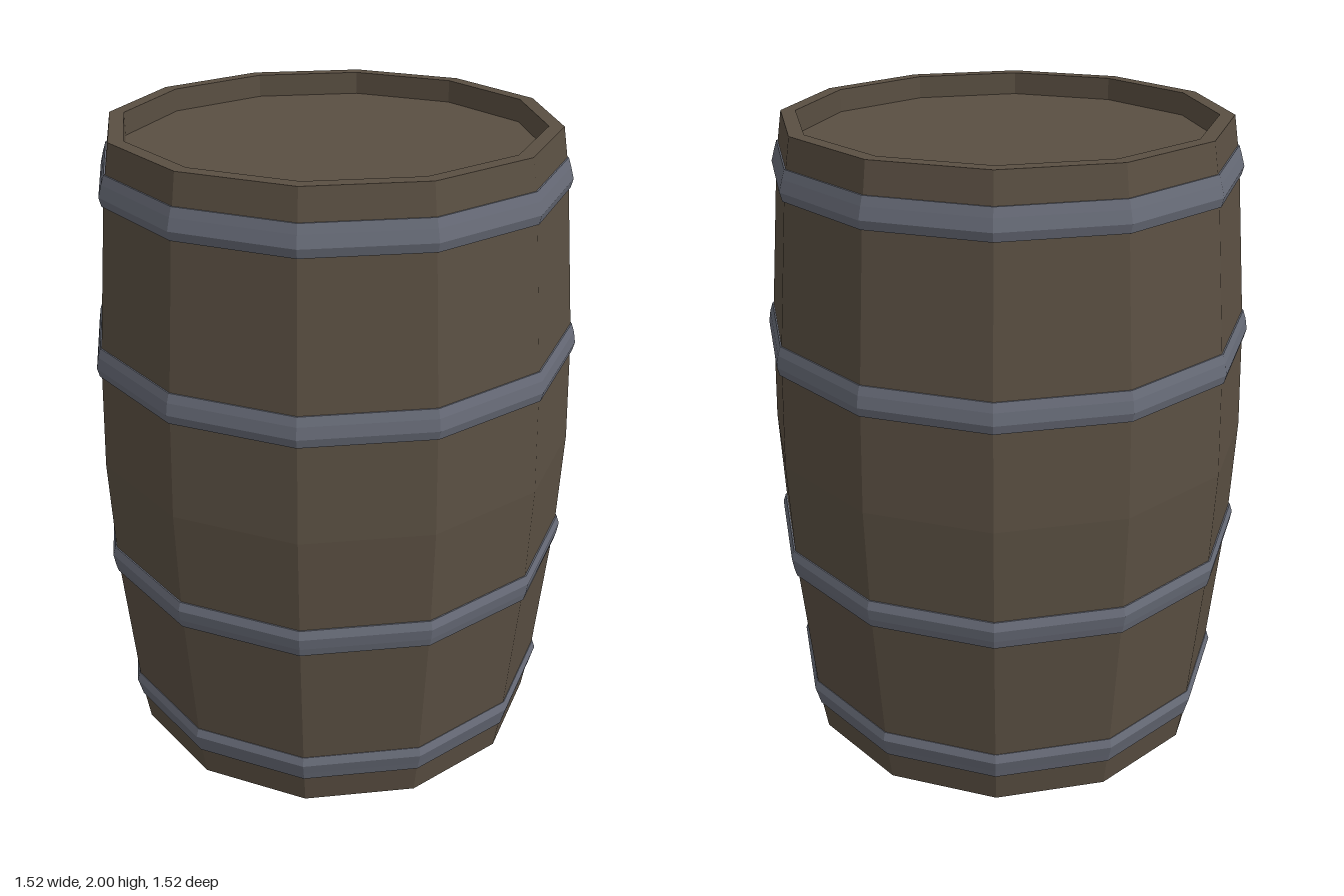
import * as THREE from 'three';

const SIDES = 12;

// Faceted surface of revolution from [radius, height] pairs, bottom to top
function facetedLathe(profile) {
  const points = profile.map(([r, y]) => new THREE.Vector2(r, y));
  const geometry = new THREE.LatheGeometry(points, SIDES).toNonIndexed();
  geometry.computeVertexNormals();
  return geometry;
}

export function createModel() {
  const wood = new THREE.MeshStandardMaterial({ color: 0x5a4f42 });
  wood.name = 'dark wood';
  const iron = new THREE.MeshStandardMaterial({ color: 0x676b77 });
  iron.name = 'grey iron';

  const barrel = new THREE.Group();
  barrel.name = 'barrel';

  function add(name, geometry, material) {
    const mesh = new THREE.Mesh(geometry, material);
    mesh.name = name;
    barrel.add(mesh);
  }

  // Bulging staves with a rim turned inward at both ends
  const half = [[0.757, 1], [0.744, 1.345], [0.697, 1.865], [0.675, 2], [0.63, 2], [0.63, 1.93]];
  const mirrored = half.slice(1).reverse().map(([r, y]) => [r, 2 - y]);
  add('staves', facetedLathe([...mirrored, ...half]), wood);

  // Recessed round heads
  add('bottomHead', facetedLathe([[0, 0.07], [0.63, 0.07]]), wood);
  add('topHead', facetedLathe([[0.63, 1.93], [0, 1.93]]), wood);

  // Hoops with bevelled edges, each following the slope of the staves
  const hoops = [
    ['bottomHoop', 0.145, 0.705, 0.005],
    ['lowerHoop', 0.655, 0.753, 0.003],
    ['upperHoop', 1.345, 0.753, -0.003],
    ['topHoop', 1.865, 0.705, -0.005],
  ];
  for (const [name, y, r, slope] of hoops) {
    add(name, facetedLathe([
      [r - 0.02 - slope, y - 0.045],
      [r - 0.004 - slope, y - 0.045],
      [r + 0.003 - slope, y - 0.018],
      [r + 0.003 + slope, y + 0.018],
      [r - 0.006 + slope, y + 0.045],
      [r - 0.02 + slope, y + 0.045],
    ]), iron);
  }

  return barrel;
}
